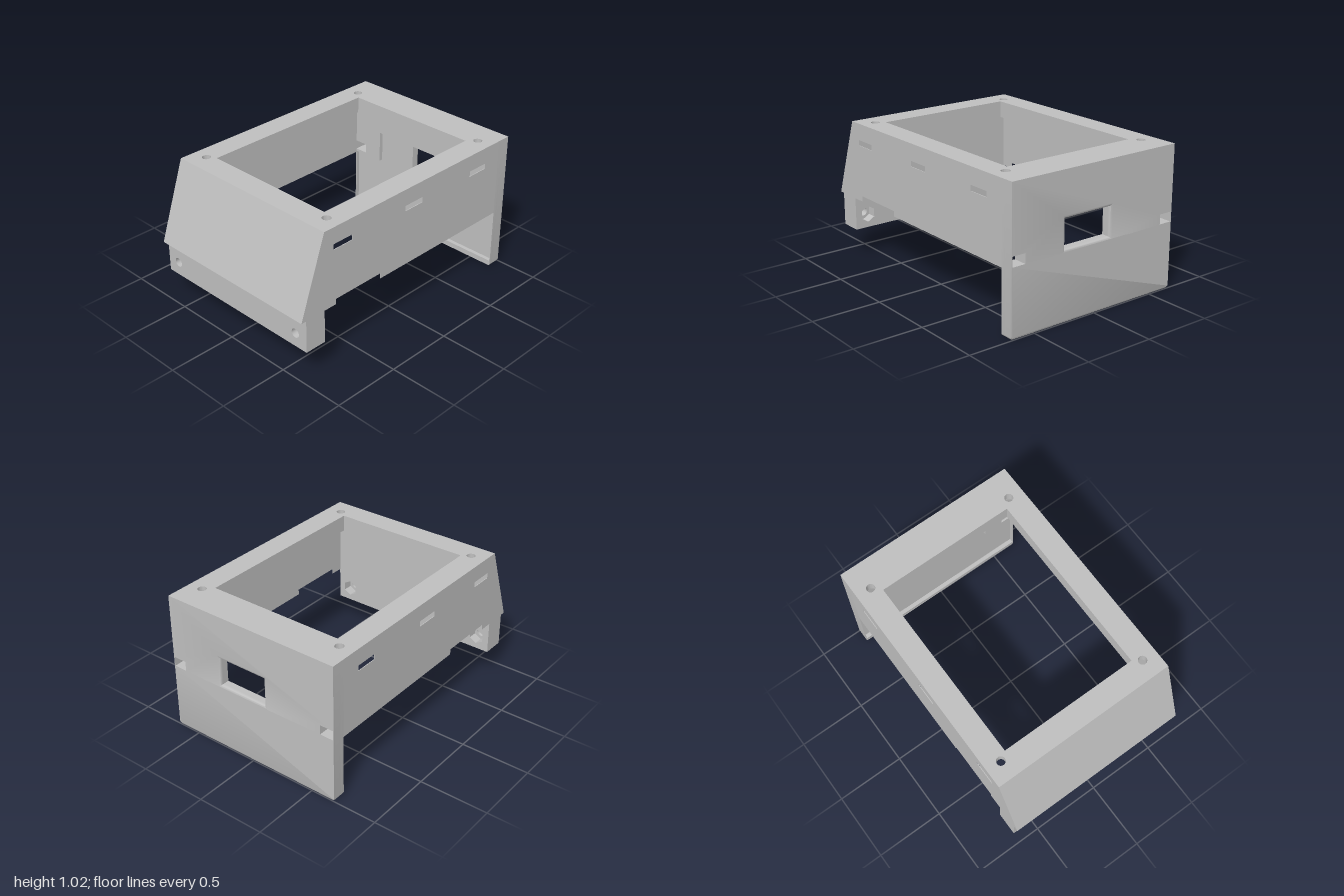
import * as THREE from 'three';
import { toCreasedNormals } from 'three/addons/utils/BufferGeometryUtils.js';

const W = 0.68;      // half width
const IN = 0.675;    // half width of the cavity

const points = (list) => list.map(([x, y]) => new THREE.Vector2(x, y));
const rect = (x0, y0, x1, y1) => [[x0, y0], [x1, y0], [x1, y1], [x0, y1]];

// regular polygon outline: 6 sides for nut pockets, 32 for round holes
function ngon(cx, cy, r, sides) {
  return Array.from({ length: sides }, (_, i) => {
    const a = Math.PI / 2 + (i / sides) * Math.PI * 2;
    return [cx + r * Math.cos(a), cy + r * Math.sin(a)];
  });
}

// flat slab with holes, extruded along +z
function slab(outline, holes, depth, steps = 1) {
  const shape = new THREE.Shape(points(outline));
  holes.forEach((h) => shape.holes.push(new THREE.Path(points(h))));
  return new THREE.ExtrudeGeometry(shape, { depth, steps, bevelEnabled: false });
}

export function createModel() {
  const model = new THREE.Group();
  model.name = 'enclosure';
  const grey = new THREE.MeshStandardMaterial({ color: 0xbfbfbf });
  grey.name = 'grey plastic';

  function add(name, geometry, parent = model) {
    const mesh = new THREE.Mesh(toCreasedNormals(geometry, 0.6), grey);
    mesh.name = name;
    parent.add(mesh);
    return mesh;
  }
  function group(name) {
    const g = new THREE.Group();
    g.name = name;
    model.add(g);
    return g;
  }

  // top frame: round screw holes above, hexagonal nut pockets below
  const top = group('topFrame');
  const topOutline = rect(-W, -0.8, W, 0.9);            // shape y is -z
  const opening = rect(-0.51, -0.63, 0.51, 0.74);
  const corners = [[-0.57, 0.8], [0.57, 0.8], [-0.57, -0.67], [0.57, -0.67]];
  [['screwLayer', 0.95, 0.07, 0.031, 32], ['nutLayer', 0.9, 0.05, 0.058, 6]]
    .forEach(([name, y, depth, r, sides]) => {
      const holes = corners.map(([x, z]) => ngon(x, z, r, sides));
      const g = slab(topOutline, [opening, ...holes], depth);
      add(name, g.rotateX(-Math.PI / 2).translate(0, y, 0), top);
    });

  // thin side walls with vent slots under the frame and a notch in the lower edge
  const wall = [[-0.9, 0.45], [0.29, 0.45], [0.29, 0.49], [0.7, 0.49], [0.7, 0.45], [0.8, 0.45], [0.8, 0.9]];
  [[0.72, 0.555], [0.065, -0.1], [-0.59, -0.755]].forEach(([a, b]) => {
    wall.push([a, 0.9], [a, 0.86], [b, 0.86], [b, 0.9]);
  });
  wall.push([-0.9, 0.9]);
  [['leftWall', W], ['rightWall', -IN]].forEach(([name, x]) => {
    add(name, slab(wall, [], W - IN).rotateY(-Math.PI / 2).translate(x, 0, 0));
  });

  // sloping front
  const slope = [[0.8, 0.45], [1, 0.45], [0.8, 1.02]];
  add('slopingFront', slab(slope, [], 2 * W).rotateY(-Math.PI / 2).translate(W, 0, 0));

  // front foot: bolt holes in front, nut pockets behind
  const foot = group('frontFoot');
  [['boltLayer', 0.87, 0.09, 0.033, 32], ['nutLayer', 0.8, 0.07, 0.06, 6]]
    .forEach(([name, z, depth, r, sides]) => {
      const holes = [-0.58, 0.58].map((x) => ngon(x, 0.31, r, sides));
      add(name, slab(rect(-W, 0.21, W, 0.45), holes, depth).translate(0, 0, z), foot);
    });

  // back wall outline with softly rounded lower corners
  const backOutline = [[W, 1.02], [-W, 1.02]];
  const r = 0.015;
  for (let i = 0; i <= 8; i++) {
    if (i === 4) backOutline.push([-W + r, 0], [W - r, 0]);
    else {
      const s = i < 4 ? -1 : 1;
      const a = ((i < 4 ? i : 8 - i) / 4) * Math.PI / 2;
      backOutline.push([s * (W - r + r * Math.cos(a)), r - r * Math.sin(a)]);
    }
  }
  const clips = [rect(-IN, 0.48, -0.575, 0.55), rect(0.575, 0.48, IN, 0.55)];
  const back = group('backWall');

  // outer skin: round over the window rim and the bottom edge
  const win = { x0: -0.12, y0: 0.495, x1: 0.255, y1: 0.7 };
  const skin = slab(backOutline, [rect(win.x0, win.y0, win.x1, win.y1), ...clips], 0.07, 14);
  const pos = skin.attributes.position;
  const roundOver = (d, rad) => (d < rad ? rad - Math.sqrt(rad * rad - (rad - d) ** 2) : 0);
  const e = 1e-4;
  for (let i = 0; i < pos.count; i++) {
    const x = pos.getX(i), y = pos.getY(i), d = pos.getZ(i);
    if (x > win.x0 - e && x < win.x1 + e && y > win.y0 - e && y < win.y1 + e) {
      const push = roundOver(d, 0.02);
      pos.setX(i, x + (x < 0 ? -push : push));
      pos.setY(i, y + (y < 0.6 ? -push : push));
    } else if (y < 0.01) {
      pos.setY(i, y + roundOver(d, 0.015));
    }
  }
  add('outerSkin', skin.translate(0, 0, -1), back);

  // inner layer: leaves a T-shaped recess for a board
  const recess = [[-IN, 0.04], [IN, 0.04], [IN, 0.46], [0.43, 0.46], [0.43, 0.7],
    [-0.43, 0.7], [-0.43, 0.46], [-IN, 0.46]];
  add('innerLayer', slab(backOutline, [recess, ...clips], 0.03).translate(0, 0, -0.93), back);

  return model;
}
